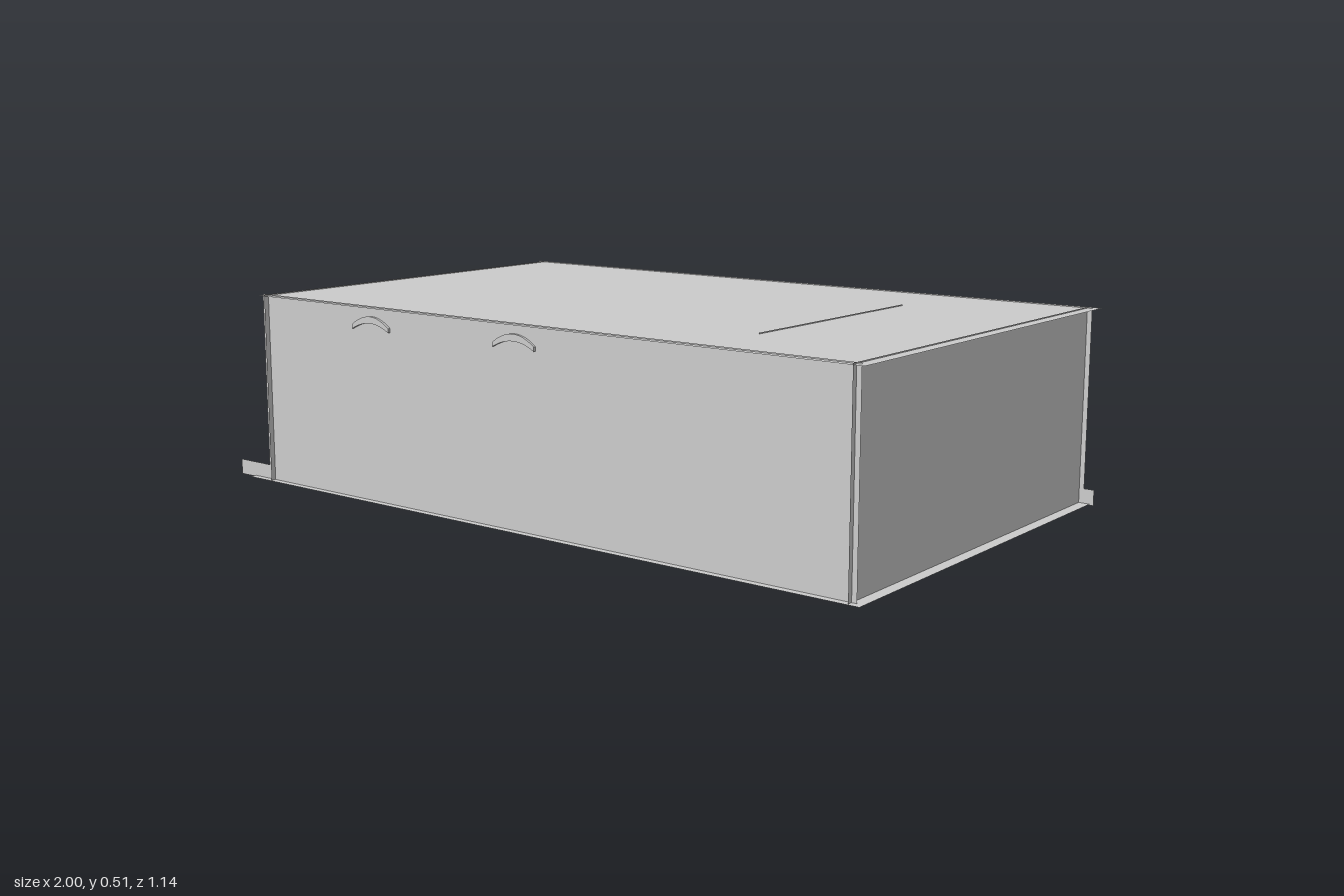
import * as THREE from 'three';

export function createModel() {
  const model = new THREE.Group();
  const material = new THREE.MeshStandardMaterial({ color: 0xcccccc, side: THREE.DoubleSide });

  function add(name, geometry, x = 0, y = 0, z = 0, parent = model) {
    const mesh = new THREE.Mesh(geometry, material);
    mesh.name = name;
    mesh.position.set(x, y, z);
    parent.add(mesh);
    return mesh;
  }

  const bottom = 0.007, top = 0.514;

  // Horizontal sheets: the floor reaches out past one end, the lid past the other
  function sheet(name, x0, x1, y) {
    const geometry = new THREE.PlaneGeometry(x1 - x0, 1.139).rotateX(-Math.PI / 2);
    add(name, geometry, (x0 + x1) / 2, y, -0.0025);
  }
  sheet('floor', -0.942, 0.99, 0.01);
  sheet('lid', -0.878, 0.99, 0.511);

  // Long walls, each with low strips running out beyond the ends
  function longWall(name, stripStart, stripEnd, z) {
    const shape = new THREE.Shape([
      [stripStart, bottom], [stripEnd, bottom], [stripEnd, 0.048], [0.973, 0.048],
      [0.973, top], [-0.882, top], [-0.882, 0.048], [stripStart, 0.048],
    ].map(([x, y]) => new THREE.Vector2(x, y)));
    add(name, new THREE.ShapeGeometry(shape), 0, 0, z);
  }
  longWall('frontWall', -1, 0.973, 0.548);
  longWall('backWall', -0.965, 1, -0.552);

  // Upright cross sheets: end walls whose edges pass through the long walls, and a divider
  function crossWall(name, x, z0, z1, y0 = bottom, y1 = top) {
    const geometry = new THREE.PlaneGeometry(z1 - z0, y1 - y0).rotateY(Math.PI / 2);
    add(name, geometry, x, (y0 + y1) / 2, (z0 + z1) / 2);
  }
  crossWall('rightEndWall', -0.86, -0.559, 0.562);
  crossWall('leftEndWall', 0.96, -0.559, 0.562);
  crossWall('innerDivider', 0.57, -0.31, 0.33);

  // Shallow panel on the narrow end
  add('endPanel', new THREE.BoxGeometry(0.004, 0.32, 0.23), -0.861, 0.28, -0.035);

  // Arched grips under the lid on the front
  const arch = new THREE.Shape();
  arch.moveTo(-0.066, 0);
  arch.quadraticCurveTo(0, 0.05, 0.066, 0);
  arch.lineTo(0.066, -0.011);
  arch.quadraticCurveTo(0, 0.026, -0.066, -0.011);
  arch.closePath();
  const grip = new THREE.ExtrudeGeometry(arch, { depth: 0.01, bevelEnabled: false, curveSegments: 12 });
  for (const x of [-0.463, 0.025]) add('archedGrip', grip, x, 0.463, 0.545);

  // Small feet under the floor: two along the length, four across it
  const feet = new THREE.Group();
  feet.name = 'feet';
  model.add(feet);
  const along = new THREE.BoxGeometry(0.095, 0.012, 0.012);
  const across = new THREE.BoxGeometry(0.012, 0.012, 0.098);
  for (const z of [0.187, -0.185]) add('lengthwiseFoot', along, 0.303, 0.006, z, feet);
  for (const x of [-0.036, -0.405])
    for (const z of [0.318, -0.307]) add('crosswiseFoot', across, x, 0.006, z, feet);

  return model;
}
